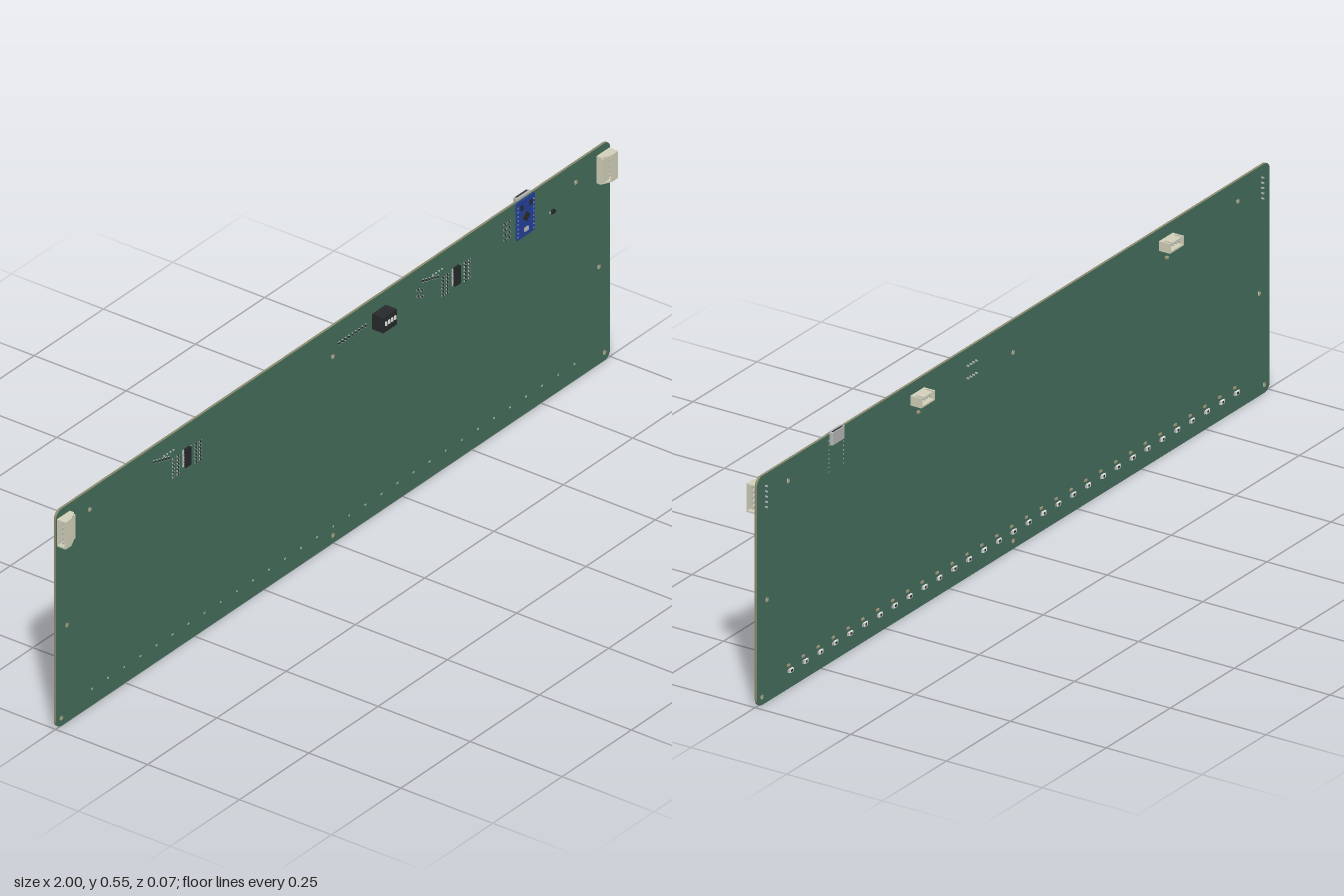
import * as THREE from 'three';

const FRONT = 0.001, BACK = -0.005; // board faces
const paint = (color) => new THREE.MeshStandardMaterial({ color });
const mat = {
  green: paint(0x446e5c), edge: paint(0x8c8a6c), cream: paint(0xd2d0ba), dark: paint(0x26282a),
  metal: paint(0xb4b6b4), blue: paint(0x24409a), white: paint(0xe8e8e4), tan: paint(0xa8987c),
};

function box(parent, name, material, [x, y, z], [w, h, d]) {
  const mesh = new THREE.Mesh(new THREE.BoxGeometry(w, h, d), material);
  mesh.position.set(x, y, z);
  mesh.name = name;
  parent.add(mesh);
  return mesh;
}

function group(parent, name, x = 0, y = 0, z = 0) {
  const g = new THREE.Group();
  g.name = name;
  g.position.set(x, y, z);
  parent.add(g);
  return g;
}

// Rounded plate with round holes, extruded along z
function plate(w, h, r, depth, holes, materials) {
  const s = new THREE.Shape();
  const a = w / 2, b = h / 2;
  s.absarc(a - r, b - r, r, 0, Math.PI / 2);
  s.absarc(-a + r, b - r, r, Math.PI / 2, Math.PI);
  s.absarc(-a + r, -b + r, r, Math.PI, Math.PI * 1.5);
  s.absarc(a - r, -b + r, r, Math.PI * 1.5, Math.PI * 2);
  for (const [x, y, hr] of holes) s.holes.push(new THREE.Path().absarc(x, y, hr, 0, Math.PI * 2, true));
  return new THREE.Mesh(new THREE.ExtrudeGeometry(s, { depth, bevelEnabled: false, curveSegments: 10 }), materials);
}

// Side connector: open housing facing outwards, with five pins
function sideConnector(parent, side) {
  const g = group(parent, side > 0 ? 'leftConnector' : 'rightConnector', 0, 0.494, FRONT);
  g.scale.x = side;
  const s = new THREE.Shape([[0.95, 0], [0.997, 0], [0.997, 0.024], [0.975, 0.024], [0.95, 0.012]]
    .map(([x, z]) => new THREE.Vector2(x, z)));
  for (const y of [-0.034, 0.03]) {
    const wall = new THREE.Mesh(new THREE.ExtrudeGeometry(s, { depth: 0.004, bevelEnabled: false }), mat.cream);
    wall.rotation.x = Math.PI / 2;
    wall.position.y = y + 0.004;
    wall.name = 'housingWall';
    g.add(wall);
  }
  box(g, 'housingFloor', mat.cream, [0.974, 0, 0.0015], [0.046, 0.06, 0.003]);
  box(g, 'housingRoof', mat.cream, [0.985, 0, 0.0225], [0.024, 0.06, 0.003]);
  box(g, 'housingBack', mat.cream, [0.962, 0, 0.009], [0.024, 0.06, 0.014]);
  for (let i = -2; i <= 2; i++) {
    box(g, 'contactPin', mat.metal, [0.982, i * 0.0125, 0.012], [0.022, 0.003, 0.003]);
    box(g, 'solderPin', mat.metal, [0.968, i * 0.0125, -0.006], [0.003, 0.003, 0.013]);
  }
}

// Rear header: shrouded housing standing off the back, with solder pins
function rearConnector(parent, x) {
  const g = group(parent, 'rearConnector', x, 0.507, BACK);
  const d = 0.029;
  box(g, 'housingBase', mat.cream, [0, 0, -0.005], [0.054, 0.023, 0.01]);
  box(g, 'housingBottom', mat.cream, [0, -0.0095, -d / 2], [0.054, 0.004, d]);
  box(g, 'housingTop', mat.cream, [0, 0.0095, -d / 2], [0.034, 0.004, d]);
  for (const s of [-1, 1]) box(g, 'housingSide', mat.cream, [s * 0.025, 0, -d / 2], [0.004, 0.023, d]);
  for (let i = -1.5; i <= 1.5; i++) {
    box(g, 'contactPin', mat.metal, [i * 0.011, 0, -0.016], [0.003, 0.003, 0.016]);
    box(g, 'solderPin', mat.metal, [i * 0.011, 0, 0.004], [0.003, 0.003, 0.01]);
  }
  for (const y of [-0.022, -0.037]) box(g, 'rearChip', mat.tan, [0, y, -0.003], [0.007, 0.005, 0.006]);
}

// Small two-terminal part on the front
function passive(parent, x, y, upright = false) {
  const g = group(parent, 'passive', x, y, FRONT + 0.001);
  if (upright) g.rotation.z = Math.PI / 2;
  box(g, 'passiveBody', mat.dark, [0, 0, 0], [0.005, 0.004, 0.002]);
  for (const s of [-1, 1]) box(g, 'passiveEnd', mat.metal, [s * 0.0033, 0, 0], [0.0016, 0.004, 0.002]);
}

// Driver chip with gull-wing legs and the passives around it
function driver(parent, x) {
  const g = group(parent, 'driverChip', x, 0.468, FRONT);
  box(g, 'chipBody', mat.dark, [0, 0, 0.004], [0.02, 0.046, 0.006]);
  for (let i = 0; i < 12; i++) {
    for (const s of [-1, 1]) {
      box(g, 'chipLeg', mat.metal, [s * 0.0125, (i - 5.5) * 0.0037, 0.0015], [0.006, 0.0016, 0.002]);
    }
  }
  for (let i = 0; i < 6; i++) {
    for (const dx of [-0.048, -0.032, 0.032, 0.048]) passive(g, dx, 0.016 - i * 0.009);
    passive(g, -0.12 + i * 0.011, 0.042 - i * 0.003, true);
  }
}

export function createModel() {
  const model = new THREE.Group();
  model.name = 'circuitBoard';

  // Board with mounting holes
  const W = 2, H = 0.547;
  const holes = [[0, 0.47], [0, 0.02]];
  for (const s of [-1, 1]) holes.push([s * 0.877, 0.497], [s * 0.96, 0.245], [s * 0.98, 0.02]);
  const board = plate(W, H, 0.02, FRONT - BACK, holes.map(([x, y]) => [x, y - H / 2, 0.0065]), [mat.green, mat.edge]);
  board.position.set(0, H / 2, BACK);
  board.name = 'board';
  model.add(board);

  for (const s of [-1, 1]) sideConnector(model, s);
  for (const x of [-0.595, 0.375]) rearConnector(model, x);
  for (const x of [-0.53, 0.442]) driver(model, x);

  // Switch block with four sliders
  const sw = group(model, 'switchBlock', 0.165, 0.492, FRONT);
  box(sw, 'switchBody', mat.dark, [0, 0, 0.0155], [0.05, 0.038, 0.031]);
  for (let i = -1.5; i <= 1.5; i++) {
    box(sw, 'slider', mat.white, [i * 0.011, 0.002, 0.0325], [0.006, 0.009, 0.003]);
    for (const y of [-0.015, 0.015]) box(sw, 'switchPin', mat.metal, [i * 0.011, y, -0.005], [0.003, 0.003, 0.014]);
  }
  for (let i = 0; i < 9; i++) passive(model, 0.02 + i * 0.012, 0.494, true);

  // Controller module with edge pads, chip, button and socket
  const ctl = group(model, 'controllerModule', 0.692, 0.498, FRONT);
  const pads = [];
  for (let i = 0; i < 8; i++) for (const s of [-1, 1]) pads.push([s * 0.0285, -0.04 + i * 0.0105, 0.0018]);
  const ctlBoard = plate(0.066, 0.094, 0.004, 0.003, pads, mat.blue);
  ctlBoard.name = 'moduleBoard';
  ctl.add(ctlBoard);
  for (const [x, y] of pads) {
    const ring = new THREE.Mesh(new THREE.TorusGeometry(0.0022, 0.0005, 4, 10), mat.metal);
    ring.position.set(x, y, 0.003);
    ring.name = 'pad';
    ctl.add(ring);
    box(ctl, 'modulePin', mat.metal, [x, y, -0.0045], [0.002, 0.002, 0.006]);
  }
  const chip = box(ctl, 'moduleChip', mat.dark, [0, 0.002, 0.004], [0.018, 0.018, 0.003]);
  chip.rotation.z = Math.PI / 4;
  box(ctl, 'moduleButton', mat.metal, [0, -0.03, 0.0045], [0.014, 0.009, 0.003]);
  for (const x of [-0.016, 0.016]) box(ctl, 'moduleRegulator', mat.dark, [x, 0.03, 0.004], [0.008, 0.012, 0.003]);
  const socket = plate(0.05, 0.012, 0.004, 0.03, [], mat.metal);
  socket.rotation.x = -Math.PI / 2;
  socket.position.set(0, 0.023, -0.0075);
  socket.name = 'socketShell';
  ctl.add(socket);
  box(ctl, 'socketOpening', mat.dark, [0, 0.0531, -0.0095], [0.04, 0.0004, 0.004]);
  for (let i = 0; i < 4; i++) for (const dx of [-0.075, -0.06]) passive(ctl, dx, 0.015 - i * 0.013);

  // Small transistor beside the controller
  box(model, 'transistor', mat.dark, [0.79, 0.465, FRONT + 0.003], [0.012, 0.008, 0.006]);
  for (const x of [0.782, 0.798]) box(model, 'transistorLeg', mat.metal, [x, 0.465, FRONT + 0.001], [0.005, 0.003, 0.002]);
  for (let i = 0; i < 4; i++) passive(model, 0.305 + (i % 2) * 0.014, 0.495 - i * 0.008);

  // Row of rear sensors, each with a chip above and pads showing in front
  const count = 31;
  for (let i = 0; i < count; i++) {
    const g = group(model, 'sensor', -0.87 + i * 1.74 / (count - 1), 0.042, BACK);
    box(g, 'sensorBody', mat.white, [0, 0, -0.002], [0.013, 0.009, 0.004]);
    box(g, 'sensorWindow', mat.dark, [0, 0, -0.0043], [0.006, 0.005, 0.0006]);
    for (const s of [-1, 1]) box(g, 'sensorEnd', mat.metal, [s * 0.0085, 0, -0.001], [0.004, 0.007, 0.002]);
    box(g, 'sensorChip', mat.tan, [0.009, 0.015, -0.0015], [0.009, 0.005, 0.003]);
    box(g, 'frontPad', mat.metal, [0, 0, 0.0063], [0.006, 0.004, 0.0006]);
  }
  return model;
}
